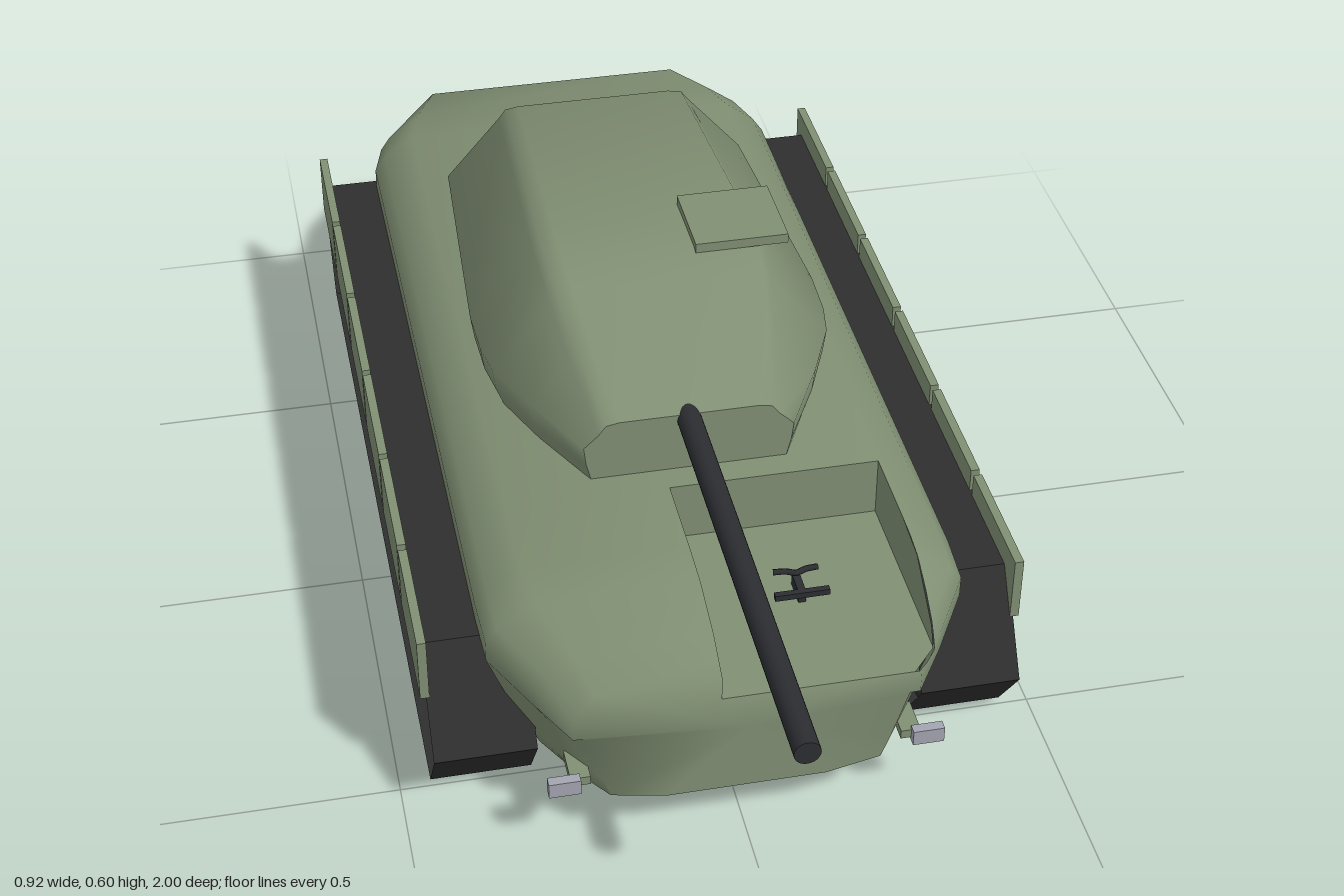
import * as THREE from 'three';
import { toCreasedNormals } from 'three/addons/utils/BufferGeometryUtils.js';

const paint = (name, color, side = THREE.FrontSide) => {
  const m = new THREE.MeshStandardMaterial({ color, side });
  m.name = name;
  return m;
};

// Skin over cross-sections listed front to back; each is [z, right-half points from bottom to top]
function loft(sections, crease) {
  const rings = sections.map(([z, half]) => [
    ...half.map(([x, y]) => new THREE.Vector3(x, y, z)),
    ...half.slice().reverse().map(([x, y]) => new THREE.Vector3(-x, y, z)),
  ]);
  const pos = [], n = rings[0].length;
  const tri = (...v) => v.forEach((p) => pos.push(p.x, p.y, p.z));
  const centre = (r) => r.reduce((c, p) => c.add(p), new THREE.Vector3()).divideScalar(n);
  const first = rings[0], last = rings[rings.length - 1];
  for (let i = 0; i < n; i++) {
    const j = (i + 1) % n;
    for (let k = 0; k + 1 < rings.length; k++) {
      const a = rings[k], b = rings[k + 1];
      tri(a[i], b[i], a[j]);
      tri(a[j], b[i], b[j]);
    }
    tri(centre(first), first[i], first[j]);
    tri(centre(last), last[j], last[i]);
  }
  const g = new THREE.BufferGeometry();
  g.setAttribute('position', new THREE.Float32BufferAttribute(pos, 3));
  return toCreasedNormals(g, crease);
}

// Remove the part of a surface inside all planes [axis, sign, limit]
function cutOut(g, planes) {
  const P = g.attributes.position, N = g.attributes.normal, pos = [], nor = [];
  const clip = (poly, [axis, sign, limit], keep) => {
    const out = [], d = (v) => keep * sign * (v[axis] - limit);
    poly.forEach((a, i) => {
      const b = poly[(i + 1) % poly.length], da = d(a), db = d(b);
      if (da >= 0) out.push(a);
      if (da * db < 0) out.push(a.map((v, k) => v + (b[k] - v) * da / (da - db)));
    });
    return out;
  };
  for (let t = 0; t < P.count; t += 3) {
    let rest = [0, 1, 2].map((k) => [
      P.getX(t + k), P.getY(t + k), P.getZ(t + k), N.getX(t + k), N.getY(t + k), N.getZ(t + k)]);
    for (const plane of planes) {
      const outside = clip(rest, plane, -1);
      for (let i = 1; i + 1 < outside.length; i++) {
        for (const v of [outside[0], outside[i], outside[i + 1]]) {
          pos.push(v[0], v[1], v[2]);
          nor.push(v[3], v[4], v[5]);
        }
      }
      rest = clip(rest, plane, 1);
      if (rest.length < 3) break;
    }
  }
  const out = new THREE.BufferGeometry();
  out.setAttribute('position', new THREE.Float32BufferAttribute(pos, 3));
  out.setAttribute('normal', new THREE.Float32BufferAttribute(nor, 3));
  return out;
}

export function createModel() {
  const model = new THREE.Group();
  const green = paint('armour green', 0x808f73, THREE.DoubleSide);
  const rubber = paint('track black', 0x2e2e2f, THREE.DoubleSide);
  const gunMetal = paint('gun metal', 0x2b2d31);
  const steel = paint('wheel steel', 0x858a8c);
  const darkSteel = paint('dark steel', 0x4b5052);
  const lamp = paint('headlight grey', 0xa3a5b0);
  const red = paint('tail light red', 0xb02a1c);

  const add = (name, geo, mat, x = 0, y = 0, z = 0, parent = model) => {
    const m = new THREE.Mesh(geo, mat);
    m.name = name;
    m.position.set(x, y, z);
    parent.add(m);
    return m;
  };
  const box = (w, h, d) => new THREE.BoxGeometry(w, h, d);

  // Hull: width, bottom, shoulder, roof half-width and roof height per station
  const hullSection = ([z, w, by, s, r, t]) => [z, [
    [w * 0.47, by], [w * 0.79, by + 0.018], [w * 0.84, by + 0.055], [w * 0.94, by + 0.14],
    [w, s - 0.035], [w, s], [w * 0.95, s + (t - s) * 0.4], [r, t]]];
  const hull = loft([
    [0.68, 0.26, 0.09, 0.265, 0.225, 0.31],
    [0.62, 0.305, 0.08, 0.285, 0.25, 0.342],
    [0.53, 0.362, 0.072, 0.305, 0.285, 0.366],
    [0.45, 0.365, 0.068, 0.31, 0.295, 0.37],
    [0.31, 0.365, 0.068, 0.31, 0.295, 0.37],
    [-0.78, 0.365, 0.068, 0.31, 0.295, 0.375],
    [-0.86, 0.345, 0.08, 0.305, 0.275, 0.367],
    [-0.975, 0.28, 0.11, 0.285, 0.23, 0.345],
  ].map(hullSection), 1.25);
  add('hull', cutOut(hull, [[0, 1, -0.04], [0, -1, 0.29], [2, 1, 0.31], [1, 1, 0.27]]), green);

  // Open driver compartment
  const plate = (pts) => new THREE.ShapeGeometry(new THREE.Shape(pts.map((p) => new THREE.Vector2(...p))));
  add('compartmentFloor', plate([[-0.04, -0.31], [0.29, -0.31], [0.29, -0.635], [0.25, -0.68], [-0.04, -0.68]]),
    green, 0, 0.27).rotation.x = -Math.PI / 2;
  add('compartmentBackWall', plate([[-0.04, 0.27], [0.29, 0.27], [0.29, 0.37], [-0.04, 0.37]]), green, 0, 0, 0.31);
  add('compartmentInnerWall', plate([[-0.31, 0.27], [-0.68, 0.27], [-0.68, 0.31], [-0.62, 0.342],
    [-0.53, 0.366], [-0.45, 0.37], [-0.31, 0.37]]), green, -0.04).rotation.y = Math.PI / 2;
  add('compartmentOuterWall', plate([[-0.31, 0.27], [-0.635, 0.27], [-0.62, 0.3], [-0.53, 0.362],
    [-0.45, 0.37], [-0.31, 0.37]]), green, 0.29).rotation.y = Math.PI / 2;
  add('controlBar', box(0.085, 0.01, 0.01), gunMetal, 0.125, 0.285, 0.495);
  const yoke = new THREE.CatmullRomCurve3([[-0.035, 0.45], [-0.015, 0.452], [0, 0.458], [0.015, 0.452], [0.035, 0.45]]
    .map(([x, z]) => new THREE.Vector3(x, 0, z)));
  add('controlYoke', new THREE.TubeGeometry(yoke, 12, 0.005, 6), gunMetal, 0.125, 0.295, 0);
  add('controlStem', box(0.012, 0.02, 0.045), gunMetal, 0.125, 0.28, 0.475);

  // Turret, roof hatch and gun
  const turretSection = ([z, w, s, r, t]) => [z, [
    [w * 0.93, 0.365], [w * 0.98, 0.4], [w, s], [r + 0.012, t - 0.02], [r, t - 0.004], [r * 0.85, t]]];
  add('turret', loft([
    [0.265, 0.165, 0.43, 0.13, 0.472],
    [0.15, 0.228, 0.44, 0.15, 0.526],
    [0.05, 0.272, 0.44, 0.165, 0.572],
    [-0.01, 0.282, 0.44, 0.17, 0.59],
    [-0.1, 0.285, 0.44, 0.17, 0.589],
    [-0.53, 0.26, 0.44, 0.155, 0.566],
    [-0.61, 0.165, 0.435, 0.125, 0.512],
  ].map(turretSection), 0.95), green);
  add('hatch', box(0.15, 0.016, 0.145), green, 0.14, 0.595, -0.068);
  add('gunBarrel', new THREE.CylinderGeometry(0.019, 0.019, 0.78, 24), gunMetal, 0, 0.461, 0.61).rotation.x = Math.PI / 2;

  // Track belt: an open six-sided loop
  const loop = [[0.58, 0.125], [0.48, 0.276], [-0.8, 0.276], [-0.905, 0.125], [-0.83, 0.014], [0.5, 0.014]];
  const beltPos = [];
  loop.forEach(([z, y], i) => {
    const [z2, y2] = loop[(i + 1) % loop.length], a = 0.297, b = 0.453;
    beltPos.push(a, y, z, b, y, z, b, y2, z2, a, y, z, b, y2, z2, a, y2, z2);
  });
  const belt = new THREE.BufferGeometry();
  belt.setAttribute('position', new THREE.Float32BufferAttribute(beltPos, 3));
  belt.computeVertexNormals();

  // Road wheel, axis along x, outer face towards +x
  const tyreProfile = [[0.074, 0.05], [0.1, 0.056], [0.111, 0.052], [0.116, 0.042], [0.116, -0.042],
    [0.111, -0.052], [0.1, -0.056], [0.074, -0.05], [0.074, 0.05]].reverse().map((p) => new THREE.Vector2(...p));
  const tyre = toCreasedNormals(new THREE.LatheGeometry(tyreProfile, 36), 0.6).rotateZ(-Math.PI / 2);
  const disc = new THREE.CylinderGeometry(0.076, 0.076, 0.07, 30).rotateZ(-Math.PI / 2);
  const rim = new THREE.TorusGeometry(0.071, 0.005, 6, 30).rotateY(Math.PI / 2);
  const hub = new THREE.CylinderGeometry(0.016, 0.018, 0.02, 16).rotateZ(-Math.PI / 2);
  const spoke = box(0.012, 0.056, 0.009).translate(0, 0.042, 0);
  const makeWheel = () => {
    const w = new THREE.Group();
    w.name = 'roadWheel';
    add('tyre', tyre, rubber, 0, 0, 0, w);
    add('wheelDisc', disc, darkSteel, 0, 0, 0, w);
    add('rim', rim, steel, 0.045, 0, 0, w);
    add('hub', hub, steel, 0.042, 0, 0, w);
    for (let i = 0; i < 7; i++) add('spoke', spoke, steel, 0.038, 0, 0, w).rotation.x = i * Math.PI * 2 / 7;
    return w;
  };

  // Running gear and lights on both sides
  for (const side of [1, -1]) {
    add('trackBelt', belt, rubber, side > 0 ? 0 : -0.75);
    for (let i = 0; i < 6; i++) {
      const wheel = makeWheel();
      wheel.position.set(side * 0.38, 0.117, 0.43 - i * 0.233);
      if (side < 0) wheel.rotation.y = Math.PI;
      model.add(wheel);
      add('skirtPanel', box(0.014, 0.108, 0.216), green, side * 0.455, 0.261, 0.417 - i * 0.2283);
    }
    add('headlight', box(0.048, 0.026, 0.016), lamp, side * 0.275, 0.145, 0.684);
    add('headlightMount', box(0.03, 0.015, 0.06), green, side * 0.25, 0.145, 0.65);
    add('tailLight', box(0.048, 0.02, 0.014), red, side * 0.275, 0.146, -0.993);
    add('tailLightMount', box(0.03, 0.012, 0.05), green, side * 0.255, 0.146, -0.965);
  }
  return model;
}
